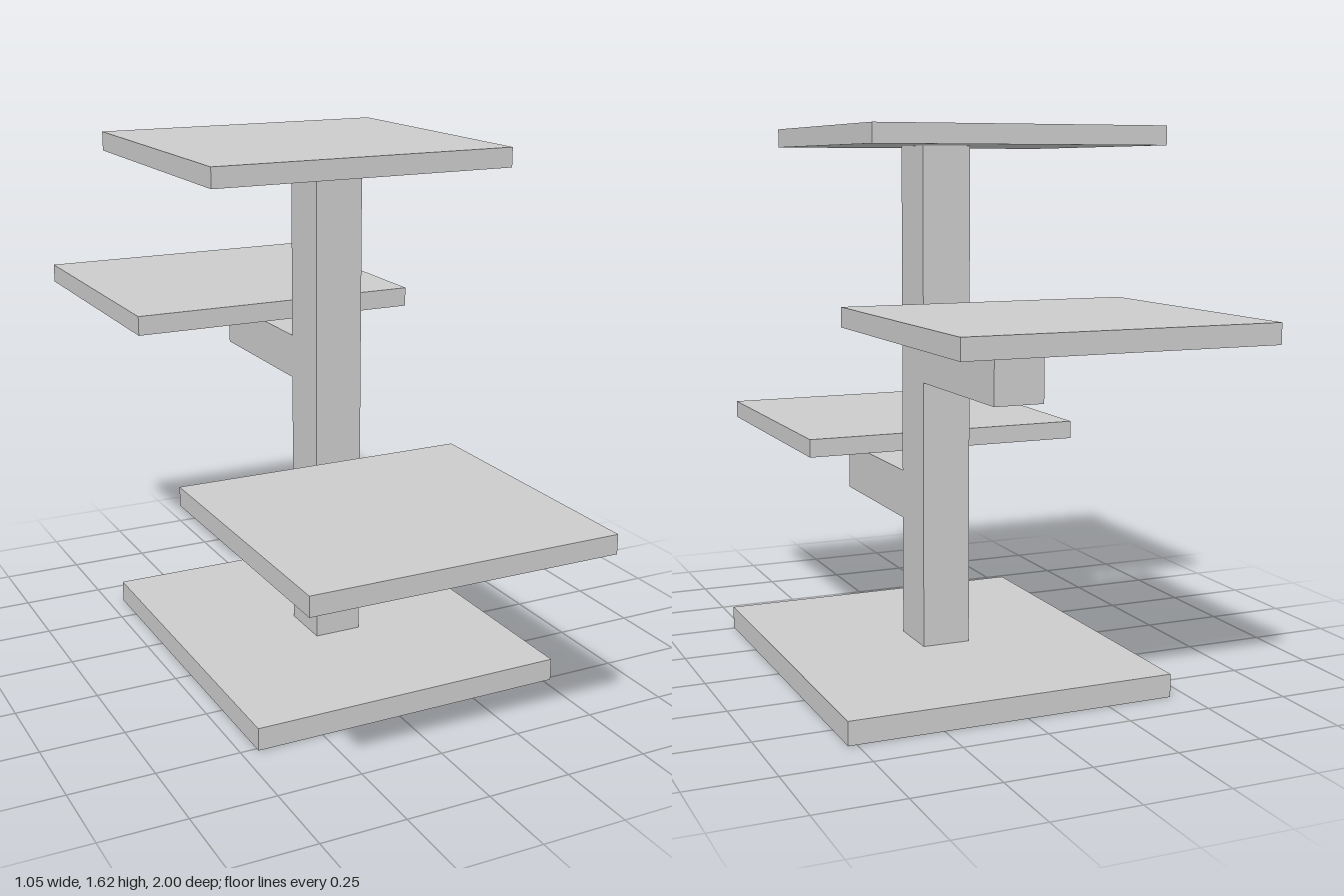
import * as THREE from 'three';

const material = new THREE.MeshStandardMaterial({ color: 0xcccccc, flatShading: true });

// Box given by its [min, max] extent on each axis
function slab(name, [x0, x1], [y0, y1], [z0, z1]) {
  const mesh = new THREE.Mesh(new THREE.BoxGeometry(x1 - x0, y1 - y0, z1 - z0), material);
  mesh.position.set((x0 + x1) / 2, (y0 + y1) / 2, (z0 + z1) / 2);
  mesh.name = name;
  return mesh;
}

// L-shaped arm: a side profile of [z, y] points extruded across the post's width
function arm(name, [x0, x1], profile) {
  const shape = new THREE.Shape(profile.map(([z, y]) => new THREE.Vector2(z, y)));
  const geometry = new THREE.ExtrudeGeometry(shape, { depth: x1 - x0, bevelEnabled: false });
  geometry.rotateY(-Math.PI / 2).translate(x1, 0, 0);
  const mesh = new THREE.Mesh(geometry, material);
  mesh.name = name;
  return mesh;
}

export function createModel() {
  const model = new THREE.Group();
  model.name = 'tieredStand';

  const postX = [-0.043, 0.105];
  const shelfX = [-0.527, 0.369];

  // Base and central post
  model.add(slab('base', [-0.45, 0.525], [0, 0.068], [-0.627, 0.512]));
  model.add(slab('post', postX, [0.068, 1.562], [-0.12, 0.05]));

  // Three shelves
  model.add(slab('topShelf', shelfX, [1.562, 1.618], [-0.415, 0.438]));
  model.add(slab('backShelf', shelfX, [1.05, 1.108], [-1, -0.15]));
  model.add(slab('frontShelf', shelfX, [0.62, 0.676], [0.153, 1]));

  // Arms with an upturned end under each side shelf
  model.add(arm('backArm', postX, [
    [-0.12, 0.872], [-0.617, 0.872], [-0.617, 1.05], [-0.488, 1.05], [-0.488, 1.005], [-0.12, 1.005],
  ]));
  model.add(arm('frontArm', postX, [
    [0.05, 0.432], [0.547, 0.432], [0.547, 0.62], [0.41, 0.62], [0.41, 0.58], [0.05, 0.58],
  ]));

  return model;
}
